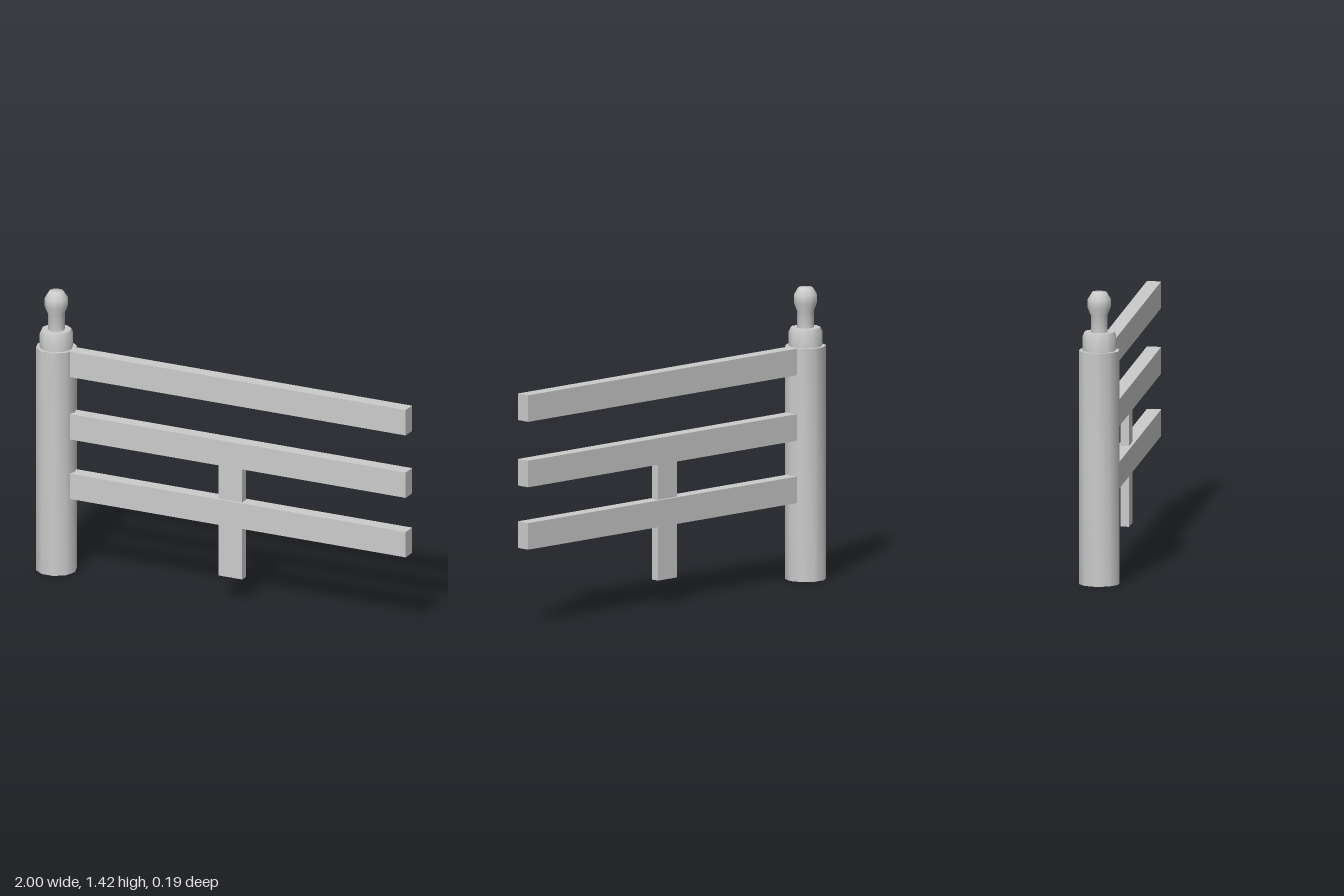
import * as THREE from 'three';
import { toCreasedNormals } from 'three/addons/utils/BufferGeometryUtils.js';

const SIDES = 10;
const POST_X = -0.9;

export function createModel() {
  const model = new THREE.Group();
  model.name = 'fenceSection';
  const material = new THREE.MeshStandardMaterial({ color: 0xcccccc });

  const add = (name, geometry, x, y, z) => {
    const mesh = new THREE.Mesh(geometry, material);
    mesh.name = name;
    mesh.position.set(x, y, z);
    model.add(mesh);
  };

  // Ten-sided turned part on the post axis, from [radius, height] pairs
  const turned = (name, profile) => {
    const points = profile.map(([r, y]) => new THREE.Vector2(r, y));
    const lathe = new THREE.LatheGeometry(points, SIDES, Math.PI / 2);
    add(name, toCreasedNormals(lathe, Math.PI / 3), POST_X, 0, 0);
  };

  // Box given by its x and y limits and its depth, centred on z = 0
  const board = (name, x0, x1, y0, y1, depth) =>
    add(name, new THREE.BoxGeometry(x1 - x0, y1 - y0, depth), (x0 + x1) / 2, (y0 + y1) / 2, 0);

  // Post with its collar and knob
  turned('post', [[0, 0], [0.1, 0], [0.1, 1.14], [0, 1.14]]);
  turned('collar', [[0, 1.138], [0.082, 1.138], [0.082, 1.21], [0.073, 1.23], [0, 1.23]]);
  turned('finial', [
    [0, 1.228], [0.041, 1.228], [0.041, 1.31],
    [0.057, 1.35], [0.057, 1.39], [0.035, 1.425], [0, 1.425],
  ]);

  // Three rails running from the post
  const rails = [['lowerRail', 0.385], ['middleRail', 0.69], ['upperRail', 1.01]];
  for (const [name, y] of rails) board(name, -0.81, 1, y, y + 0.13, 0.07);

  // Upright brace hanging from the middle rail through the lower one
  board('brace', -0.015, 0.112, 0.12, 0.75, 0.042);

  return model;
}
